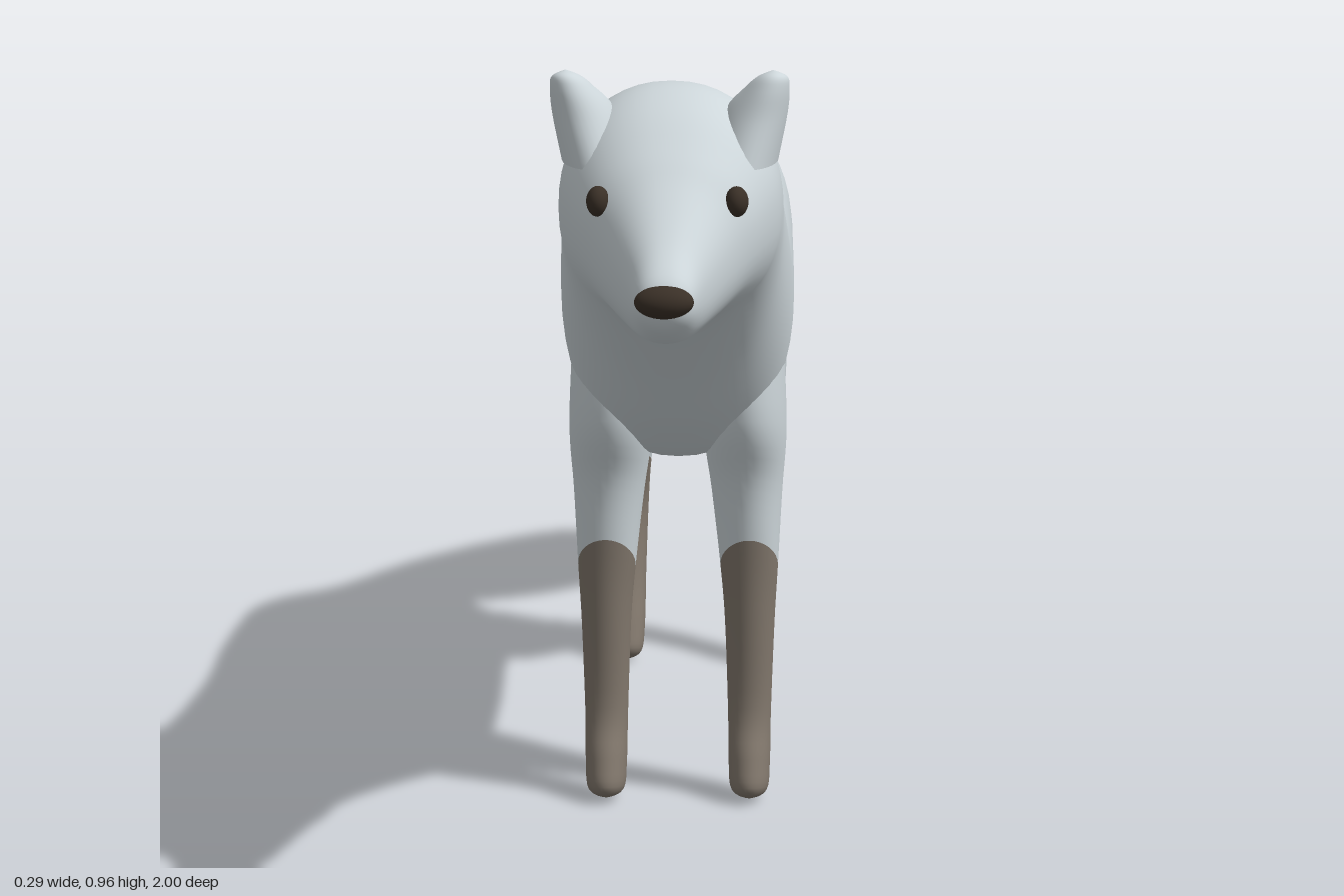
import * as THREE from 'three';

const fur = new THREE.MeshStandardMaterial({ name: 'paleFur', color: 0xcdd6da });
const sock = new THREE.MeshStandardMaterial({ name: 'brownSock', color: 0x81776c });
const dark = new THREE.MeshStandardMaterial({ name: 'darkBrown', color: 0x3a3027 });

// Smooth cubic between the four neighbouring values
function cubic(a, b, c, d, t) {
  return b + 0.5 * t * (c - a + t * (2 * a - 5 * b + 4 * c - d + t * (3 * (b - c) + d - a)));
}

// Skin over sections [zA, yA, zB, yB, halfWidth, centreX]; A and B are opposite edges.
// Rows after section `split` use the second material.
function loft(sections, { side = 1, steps = 5, sides = 32, power = 2, split = Infinity } = {}) {
  const rows = (sections.length - 1) * steps;
  const pos = [], index = [];
  const bend = (v) => Math.sign(v) * Math.pow(Math.abs(v), 2 / power);
  for (let r = 0; r <= rows; r++) {
    const i = Math.min(Math.floor(r / steps), sections.length - 2);
    const t = r / steps - i;
    const at = (k) => sections[Math.max(0, Math.min(sections.length - 1, k))];
    const [za, ya, zb, yb, w, cx = 0] = sections[i].map((_, n) =>
      cubic(at(i - 1)[n], at(i)[n], at(i + 1)[n], at(i + 2)[n], t));
    for (let j = 0; j < sides; j++) {
      const ang = (j / sides) * Math.PI * 2;
      const c = bend(Math.cos(ang)) / 2, s = bend(Math.sin(ang));
      pos.push(cx * side + s * Math.max(0, w), (ya + yb) / 2 + c * (ya - yb), (za + zb) / 2 + c * (za - zb));
    }
  }
  for (let r = 0; r < rows; r++) {
    for (let j = 0; j < sides; j++) {
      const a = r * sides + j, b = r * sides + ((j + 1) % sides);
      index.push(a, b, a + sides, b, b + sides, a + sides);
    }
  }
  const geo = new THREE.BufferGeometry();
  geo.setAttribute('position', new THREE.Float32BufferAttribute(pos, 3));
  geo.setIndex(index);
  geo.computeVertexNormals();
  const cut = Math.min(split * steps, rows) * sides * 6;
  geo.addGroup(0, cut, 0);
  if (cut < index.length) geo.addGroup(cut, index.length - cut, 1);
  return geo;
}

// Muzzle, head, neck, trunk and brush tail: top edge, bottom edge, half width
const BODY = [
  [0.985, 0.73, 0.985, 0.73, 0],
  [0.975, 0.755, 0.97, 0.70, 0.028],
  [0.93, 0.79, 0.92, 0.677, 0.045],
  [0.87, 0.84, 0.86, 0.675, 0.072],
  [0.83, 0.875, 0.80, 0.68, 0.10],
  [0.77, 0.917, 0.74, 0.67, 0.122],
  [0.70, 0.937, 0.68, 0.65, 0.128],
  [0.60, 0.925, 0.58, 0.575, 0.13],
  [0.50, 0.885, 0.47, 0.485, 0.138],
  [0.36, 0.845, 0.36, 0.435, 0.143],
  [0.15, 0.82, 0.15, 0.432, 0.145],
  [0, 0.825, 0, 0.44, 0.145],
  [-0.15, 0.82, -0.12, 0.445, 0.145],
  [-0.28, 0.80, -0.22, 0.47, 0.142],
  [-0.36, 0.755, -0.32, 0.50, 0.125],
  [-0.42, 0.705, -0.385, 0.53, 0.095],
  [-0.50, 0.655, -0.43, 0.47, 0.09],
  [-0.62, 0.585, -0.50, 0.38, 0.10],
  [-0.74, 0.505, -0.60, 0.28, 0.10],
  [-0.85, 0.42, -0.71, 0.22, 0.088],
  [-0.93, 0.35, -0.82, 0.196, 0.062],
  [-0.98, 0.29, -0.92, 0.20, 0.038],
  [-1, 0.235, -1, 0.235, 0],
];

// Legs: back edge, front edge, half width, centre x
const FRONT_LEG = [
  [0.26, 0.58, 0.47, 0.62, 0.05, 0.08],
  [0.28, 0.46, 0.465, 0.50, 0.052, 0.083],
  [0.305, 0.37, 0.43, 0.42, 0.044, 0.086],
  [0.33, 0.26, 0.415, 0.34, 0.036, 0.089],
  [0.335, 0.20, 0.405, 0.25, 0.031, 0.09],
  [0.345, 0.10, 0.40, 0.12, 0.027, 0.09],
  [0.355, 0.04, 0.42, 0.06, 0.026, 0.09],
  [0.365, 0.01, 0.43, 0.02, 0.022, 0.09],
  [0.395, 0.002, 0.395, 0.002, 0, 0.09],
];
const HIND_LEG = [
  [-0.33, 0.65, -0.08, 0.62, 0.05, 0.08],
  [-0.345, 0.53, -0.09, 0.47, 0.053, 0.085],
  [-0.336, 0.44, -0.14, 0.405, 0.05, 0.087],
  [-0.348, 0.355, -0.19, 0.355, 0.043, 0.089],
  [-0.375, 0.265, -0.24, 0.315, 0.035, 0.09],
  [-0.372, 0.21, -0.298, 0.23, 0.03, 0.09],
  [-0.345, 0.12, -0.285, 0.13, 0.027, 0.09],
  [-0.315, 0.05, -0.255, 0.055, 0.026, 0.09],
  [-0.29, 0.01, -0.245, 0.02, 0.021, 0.09],
  [-0.27, 0.002, -0.27, 0.002, 0, 0.09],
];

// Ear: front edge, back edge, half width, centre x
const EAR = [
  [0.80, 0.85, 0.65, 0.86, 0.042, 0.08],
  [0.785, 0.90, 0.68, 0.915, 0.036, 0.096],
  [0.778, 0.935, 0.71, 0.938, 0.025, 0.109],
  [0.77, 0.952, 0.725, 0.948, 0.016, 0.115],
  [0.75, 0.957, 0.75, 0.957, 0, 0.116],
];

export function createModel() {
  const model = new THREE.Group();
  model.name = 'fox';
  const add = (name, geometry, material, parent = model) => {
    const mesh = new THREE.Mesh(geometry, material);
    mesh.name = name;
    parent.add(mesh);
    return mesh;
  };

  add('bodyAndTail', loft(BODY, { power: 2.2, sides: 48 }), fur);

  // Nose
  const nose = add('nose', new THREE.SphereGeometry(1, 24, 16), dark);
  nose.scale.set(0.032, 0.018, 0.02);
  nose.position.set(0, 0.732, 0.977);

  // Paired parts
  for (const [label, side] of [['left', 1], ['right', -1]]) {
    add(label + 'FrontLeg', loft(FRONT_LEG, { side, split: 3 }), [fur, sock]);
    add(label + 'HindLeg', loft(HIND_LEG, { side, split: 4 }), [fur, sock]);
    add(label + 'Ear', loft(EAR, { side }), fur);
    const eye = add(label + 'Eye', new THREE.SphereGeometry(1, 20, 14), dark);
    eye.scale.set(0.013, 0.017, 0.017);
    eye.position.set(0.076 * side, 0.822, 0.845);
  }
  return model;
}
